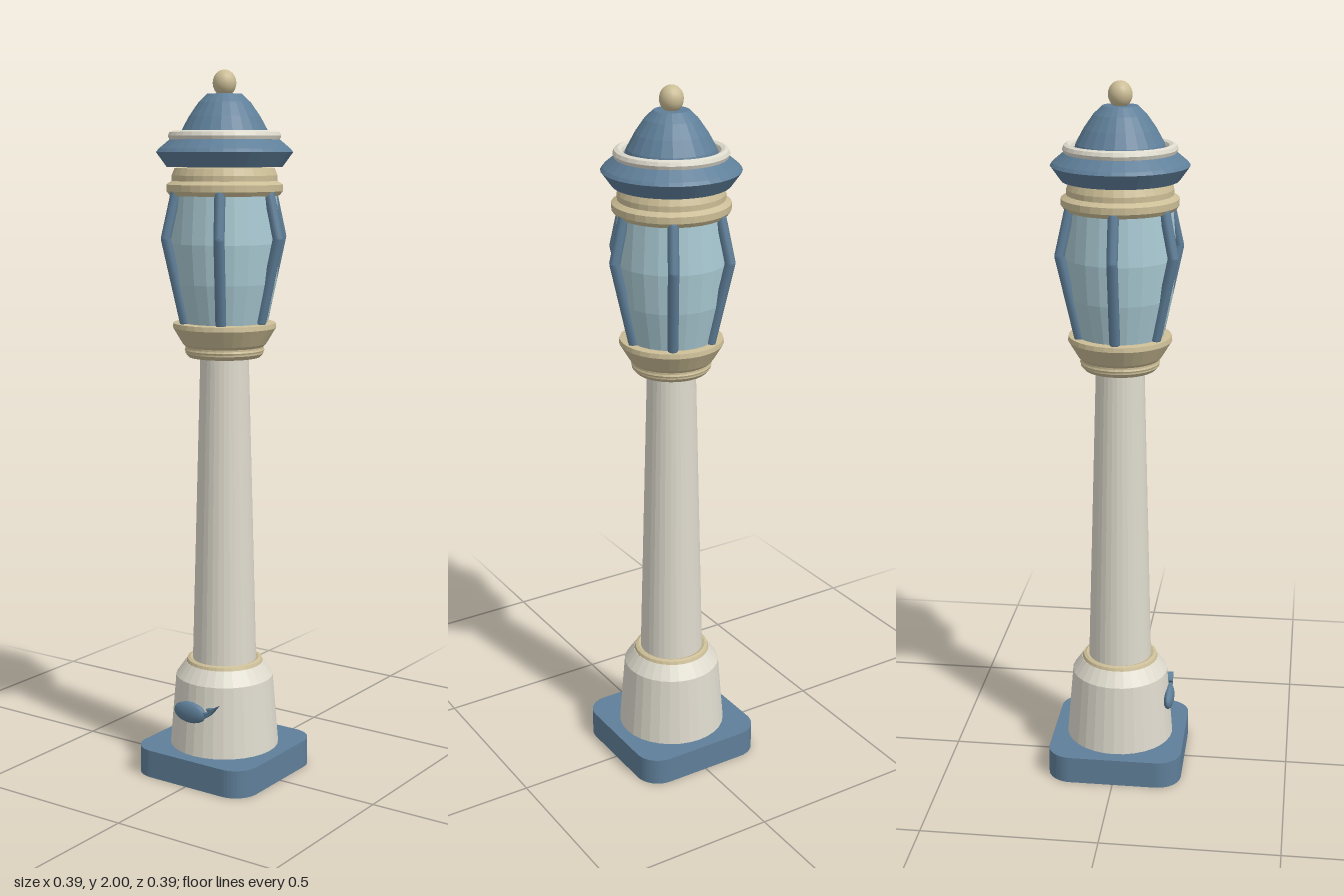
import * as THREE from 'three';

const paint = (color, flat = true) => new THREE.MeshStandardMaterial({ color, flatShading: flat });
const blue = paint(0x5f7f99);
const smoothBlue = paint(0x5f7f99, false);
const cream = paint(0xdedacd);
const tan = paint(0xcbbd96);
const smoothTan = paint(0xcbbd96, false);
const glass = paint(0xa9c9d2);

export function createModel() {
  const model = new THREE.Group();
  model.name = 'lampPost';

  const add = (name, geometry, material, parent = model) => {
    const mesh = new THREE.Mesh(geometry, material);
    mesh.name = name;
    parent.add(mesh);
    return mesh;
  };
  // Turned part from [radius, height] pairs, listed bottom to top
  const turn = (name, profile, material, sides = 32) =>
    add(name, new THREE.LatheGeometry(profile.map(([r, y]) => new THREE.Vector2(r, y)), sides), material);
  const ring = (name, radius, tube, y, material) => {
    const mesh = add(name, new THREE.TorusGeometry(radius, tube, 8, 32), material);
    mesh.rotation.x = Math.PI / 2;
    mesh.position.y = y;
    return mesh;
  };

  // Square plinth with rounded corners
  const h = 0.195, c = 0.07;
  const square = new THREE.Shape();
  [[1, 1, 0], [-1, 1, 1], [-1, -1, 2], [1, -1, 3]].forEach(([sx, sy, q]) =>
    square.absarc(sx * (h - c), sy * (h - c), c, q * Math.PI / 2, (q + 1) * Math.PI / 2));
  const plinth = new THREE.ExtrudeGeometry(square, { depth: 0.08, bevelEnabled: false, curveSegments: 6 });
  plinth.rotateX(-Math.PI / 2);
  add('plinth', plinth, blue);

  // Pedestal and tapered column
  turn('pedestal', [[0, 0.08], [0.157, 0.08], [0.14, 0.285], [0.112, 0.325], [0, 0.325]], cream);
  ring('columnCollar', 0.099, 0.012, 0.325, tan);
  turn('column', [[0, 0.32], [0.092, 0.32], [0.068, 1.22], [0, 1.22]], cream);

  // Lantern seat
  turn('lanternSeat', [[0, 1.212], [0.1, 1.212], [0.11, 1.223], [0.11, 1.242], [0.118, 1.25],
    [0.145, 1.295], [0.143, 1.308], [0.125, 1.31], [0, 1.31]], tan);
  ring('seatBead', 0.102, 0.01, 1.232, tan);

  // Barrel-shaped glass
  turn('glass', [[0, 1.3], [0.118, 1.3], [0.145, 1.42], [0.155, 1.53], [0.144, 1.67], [0, 1.67]], glass, 24);

  // Six bent ribs around the glass
  const ribs = new THREE.Group();
  ribs.name = 'ribs';
  model.add(ribs);
  const bends = [[0.122, 1.315], [0.177, 1.545], [0.148, 1.665]].map(([x, y]) => new THREE.Vector3(x, y, 0));
  const ribRadius = 0.015;
  const up = new THREE.Vector3(0, 1, 0);
  for (let i = 0; i < 6; i++) {
    const rib = new THREE.Group();
    rib.name = 'rib';
    rib.rotation.y = i * Math.PI / 3;
    ribs.add(rib);
    for (let k = 0; k < 2; k++) {
      const span = bends[k + 1].clone().sub(bends[k]);
      const bar = add('ribBar', new THREE.CylinderGeometry(ribRadius, ribRadius, span.length(), 8), smoothBlue, rib);
      bar.position.copy(bends[k]).addScaledVector(span, 0.5);
      bar.quaternion.setFromUnitVectors(up, span.normalize());
    }
    bends.forEach(p => add('ribJoint', new THREE.SphereGeometry(ribRadius, 8, 6), smoothBlue, rib).position.copy(p));
  }

  // Band holding the top of the glass
  turn('lanternBand', [[0, 1.66], [0.152, 1.66], [0.161, 1.672], [0.161, 1.69], [0.146, 1.7],
    [0.146, 1.715], [0.138, 1.735], [0, 1.745]], tan);

  // Roof: eave, cream trim, dome and finial
  turn('eave', [[0, 1.738], [0.16, 1.738], [0.189, 1.778], [0.182, 1.787], [0.152, 1.812], [0, 1.815]], blue);
  ring('roofTrim', 0.142, 0.014, 1.822, cream);
  turn('dome', [[0.128, 1.808], [0.12, 1.835], [0.098, 1.875], [0.072, 1.912], [0.048, 1.935], [0, 1.935]], blue, 24);
  const finial = add('finial', new THREE.SphereGeometry(0.033, 16, 12), smoothTan);
  finial.position.y = 1.964;
  finial.scale.y = 1.09;

  // Small whale ornament on the pedestal front
  const whale = new THREE.Group();
  whale.name = 'whaleOrnament';
  whale.position.set(-0.017, 0.205, 0.148);
  model.add(whale);
  add('whaleBody', new THREE.SphereGeometry(1, 16, 10), smoothBlue, whale).scale.set(0.055, 0.031, 0.016);
  const tail = new THREE.Shape();
  tail.moveTo(0.03, -0.018);
  tail.quadraticCurveTo(0.06, -0.01, 0.076, 0.012);
  tail.lineTo(0.094, 0.034);
  tail.lineTo(0.076, 0.024);
  tail.lineTo(0.058, 0.022);
  tail.lineTo(0.066, 0.012);
  tail.quadraticCurveTo(0.05, 0.004, 0.03, 0.016);
  add('whaleTail', new THREE.ExtrudeGeometry(tail, { depth: 0.02, bevelEnabled: false, curveSegments: 5 }), blue, whale)
    .position.z = -0.015;

  return model;
}
